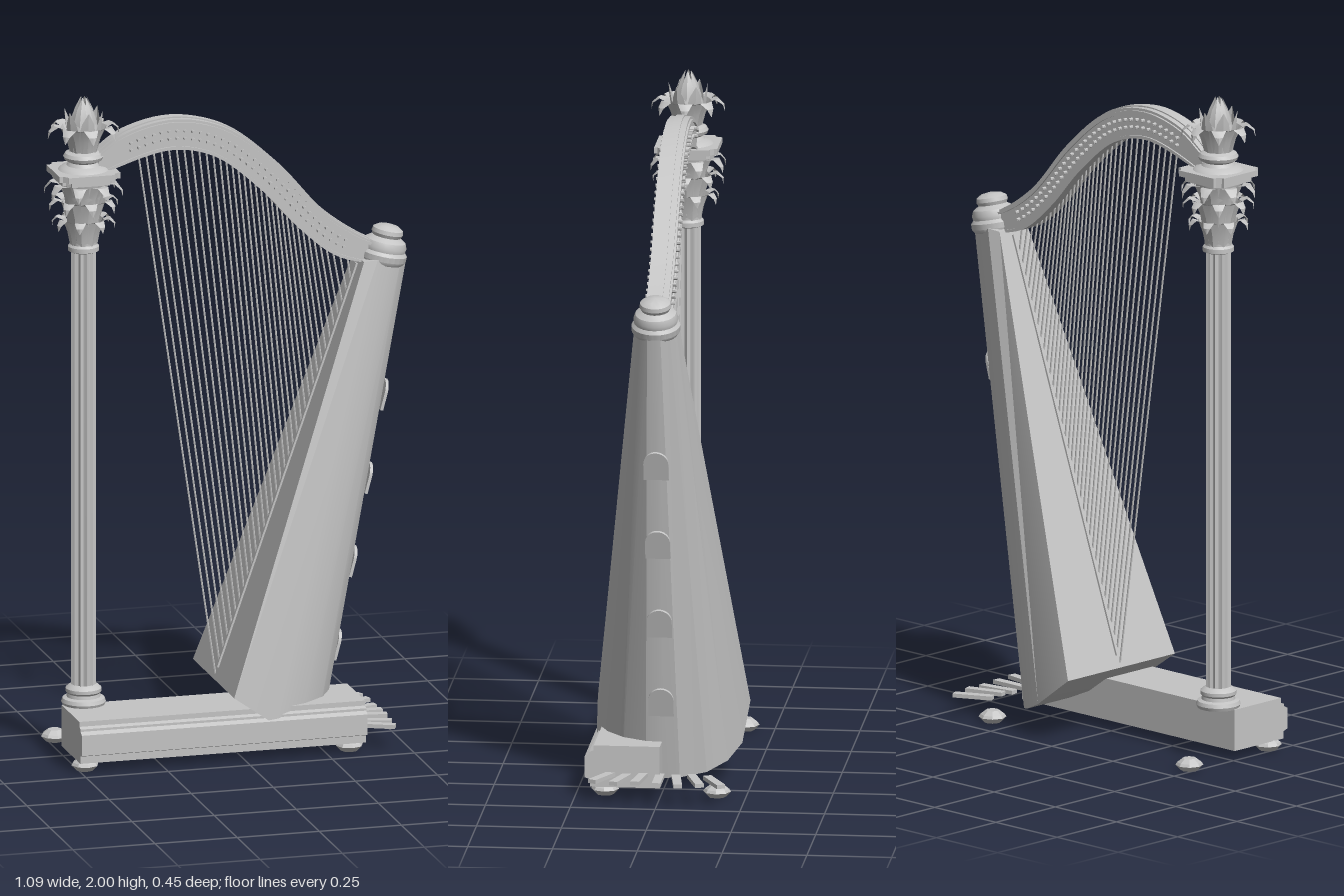
import * as THREE from 'three';
import { toCreasedNormals, mergeGeometries } from 'three/addons/utils/BufferGeometryUtils.js';

const V = (x, y, z = 0) => new THREE.Vector3(x, y, z);
const V2 = (x, y) => new THREE.Vector2(x, y);

export function createModel() {
  const harp = new THREE.Group();
  harp.name = 'harp';
  const gray = new THREE.MeshStandardMaterial({ color: 0xc4c4c4, side: THREE.DoubleSide });
  gray.name = 'plain gray';

  const add = (name, geo, parent = harp, crease = 0.6) => {
    const mesh = new THREE.Mesh(toCreasedNormals(geo, crease), gray);
    mesh.name = name;
    parent.add(mesh);
    return mesh;
  };
  const lathe = (pts, seg = 24) => new THREE.LatheGeometry(pts.map(p => V2(...p)), seg);
  const rod = (a, b, r, seg = 5) => {
    const d = b.clone().sub(a);
    const g = new THREE.CylinderGeometry(r, r, d.length(), seg);
    g.applyQuaternion(new THREE.Quaternion().setFromUnitVectors(V(0, 1, 0), d.normalize()));
    return g.translate((a.x + b.x) / 2, (a.y + b.y) / 2, (a.z + b.z) / 2);
  };

  // Moulded plinth: profile in (-z, y), swept along x
  const plinth = [[0, 0.03], [-0.205, 0.03], [-0.205, 0.052], [-0.222, 0.058], [-0.222, 0.12],
    [-0.208, 0.128], [-0.208, 0.135], [-0.195, 0.14], [-0.195, 0.155], [0, 0.155]];
  const plinthGeo = new THREE.ExtrudeGeometry(new THREE.Shape(plinth.map(p => V2(...p))),
    { depth: 0.87, bevelEnabled: false });
  add('plinth', plinthGeo.rotateY(Math.PI / 2).translate(-0.505, 0, 0));

  // Faceted feet
  for (const x of [-0.48, 0.325]) for (const z of [-0.165, 0.165])
    add('foot', lathe([[0, 0], [0.026, 0], [0.041, 0.016], [0.036, 0.024], [0.02, 0.036], [0, 0.036]], 8), harp, 0.1)
      .position.set(x, 0, z);

  // Fan of pedals
  for (let i = -3; i <= 3; i++) {
    const pedal = add('pedal', new THREE.BoxGeometry(0.12, 0.012, 0.026).translate(0.06, 0, 0));
    pedal.position.set(0.35, 0.066 + 0.003 * (i % 2), i * 0.046);
    pedal.rotation.y = -i * 0.15;
  }

  // Tapered sound box: lower and upper half outlines, mirrored in z
  const mirror = half => [...half, ...half.slice(0, -1).reverse().map(([x, y, z]) => [x, y, -z])];
  const low = mirror([[-0.042, 0.2, 0.225], [0.09, 0.105, 0.215], [0.17, 0.07, 0.18], [0.235, 0.05, 0.125],
    [0.275, 0.042, 0.05], [0.28, 0.04, 0]]);
  const high = mirror([[0.4, 1.45, 0.058], [0.44, 1.455, 0.066], [0.48, 1.45, 0.06], [0.515, 1.44, 0.045],
    [0.537, 1.43, 0.02], [0.54, 1.43, 0]]);
  const n = low.length, tri = [];
  const quad = (a, b, c, d) => tri.push(...a, ...b, ...c, ...a, ...c, ...d);
  for (let i = 0; i < n; i++) {
    const j = (i + 1) % n;
    quad(low[i], low[j], high[j], high[i]);
  }
  for (let i = 0; i < (n - 1) / 2; i++) {
    quad(low[n - 1 - i], low[n - 2 - i], low[i + 1], low[i]);
    quad(high[i], high[i + 1], high[n - 2 - i], high[n - 1 - i]);
  }
  const box = new THREE.BufferGeometry();
  box.setAttribute('position', new THREE.Float32BufferAttribute(tri, 3));
  add('soundBox', box, harp, 0.3);

  // Strip along the sound board that holds the strings
  const boardAt = y => -0.042 + (y - 0.2) * 0.3536;
  const strip = add('stringRib', new THREE.BoxGeometry(0.008, 1.27, 0.024));
  strip.position.set(boardAt(0.835) - 0.002, 0.835, 0);
  strip.rotation.z = -Math.atan(0.3536);

  // Arched sound holes down the back
  const arch = new THREE.Shape().moveTo(-0.037, -0.042).lineTo(0.037, -0.042).lineTo(0.037, 0.01);
  arch.absarc(0, 0.01, 0.037, 0, Math.PI);
  for (const y of [0.28, 0.53, 0.78, 1.03]) {
    const hole = add('soundHole', new THREE.ExtrudeGeometry(arch, { depth: 0.009, bevelEnabled: false, curveSegments: 8 })
      .rotateY(Math.PI / 2));
    hole.position.set(0.278 + 0.19 * (y - 0.04), y, 0);
    hole.rotation.z = -0.26;
  }

  // Turned cap on the sound box
  const cap = add('soundBoxCap', lathe([[0, -0.02], [0.064, -0.02], [0.072, -0.008], [0.072, 0.008], [0.064, 0.018],
    [0.066, 0.03], [0.06, 0.046], [0.048, 0.054], [0.042, 0.058], [0.047, 0.068], [0.045, 0.08], [0.03, 0.09], [0, 0.095]]));
  cap.position.set(0.472, 1.452, 0);
  cap.rotation.z = -0.22;

  // Fluted pillar
  const pillar = new THREE.Group();
  pillar.name = 'pillar';
  pillar.position.x = -0.438;
  harp.add(pillar);
  const shaft = new THREE.CylinderGeometry(1, 1, 1.36, 48, 1);
  const sp = shaft.attributes.position;
  for (let i = 0; i < sp.count; i++) {
    const a = Math.atan2(sp.getZ(i), sp.getX(i)), len = Math.hypot(sp.getX(i), sp.getZ(i));
    const r = len * (0.038 - 0.007 * Math.abs(Math.sin(a * 6)));
    sp.setXYZ(i, Math.cos(a) * r, sp.getY(i), Math.sin(a) * r);
  }
  add('flutedShaft', shaft.translate(0, 0.87, 0), pillar, 0.5);
  add('pillarBase', lathe([[0, 0.153], [0.062, 0.153], [0.066, 0.163], [0.062, 0.174], [0.05, 0.178], [0.048, 0.188],
    [0.053, 0.194], [0.053, 0.204], [0.044, 0.212], [0.036, 0.216]]), pillar);
  add('capitalBell', lathe([[0.034, 1.53], [0.046, 1.535], [0.046, 1.548], [0.04, 1.555], [0.043, 1.62], [0.05, 1.68],
    [0.066, 1.735], [0.07, 1.75], [0, 1.755]]), pillar);

  // Square slabs with notched corners over the capital
  const slab = (s, y, h) => {
    const c = s - 0.022, e = s - 0.01;
    const pts = [[c, -s], [c, -e], [s, -c]];
    const shape = new THREE.Shape();
    for (let k = 0; k < 4; k++) for (const [x, z] of [[s, -c], [s, c], [e, c], [c, e]]) {
      const a = k * Math.PI / 2;
      const p = V2(x * Math.cos(a) - z * Math.sin(a), x * Math.sin(a) + z * Math.cos(a));
      k === 0 && x === s && z === -c ? shape.moveTo(p.x, p.y) : shape.lineTo(p.x, p.y);
    }
    add('abacus', new THREE.ExtrudeGeometry(shape, { depth: h, bevelEnabled: false })
      .rotateX(-Math.PI / 2).translate(0, y, 0), pillar);
  };
  slab(0.08, 1.748, 0.016);
  slab(0.093, 1.764, 0.018);

  // Ring of curling leaves; path rows are [radius, height, half width]
  const leaves = (name, path, count, offset = 0, fold = 0.35) => {
    const geo = new THREE.PlaneGeometry(2, 1, 2, path.length - 1);
    const p = geo.attributes.position;
    for (let i = 0; i < p.count; i++) {
      const [r, y, w] = path[path.length - 1 - Math.floor(i / 3)], c = p.getX(i);
      p.setXYZ(i, c * w, y, r - Math.abs(c) * w * fold);
    }
    for (let k = 0; k < count; k++)
      add(name, geo, pillar).rotation.y = (k + offset) * Math.PI * 2 / count;
  };
  leaves('lowerCapitalLeaf', [[0.04, 1.55, 0.014], [0.048, 1.59, 0.02], [0.062, 1.628, 0.021], [0.082, 1.636, 0.017],
    [0.094, 1.622, 0.01], [0.093, 1.605, 0.001]], 8, 0.5);
  leaves('middleCapitalLeaf', [[0.042, 1.57, 0.016], [0.052, 1.64, 0.022], [0.068, 1.685, 0.024], [0.09, 1.695, 0.019],
    [0.105, 1.68, 0.011], [0.104, 1.66, 0.001]], 8);
  leaves('upperCapitalLeaf', [[0.048, 1.64, 0.016], [0.058, 1.7, 0.022], [0.076, 1.74, 0.024], [0.1, 1.743, 0.019],
    [0.116, 1.722, 0.01], [0.116, 1.704, 0.001]], 8, 0.5);

  // Finial: turned stem, spreading leaves and pointed bud
  add('finialStem', lathe([[0.075, 1.782], [0.066, 1.79], [0.05, 1.795], [0.043, 1.805], [0.056, 1.812], [0.06, 1.822],
    [0.054, 1.832], [0.04, 1.838], [0.046, 1.87], [0.048, 1.9], [0.03, 1.94], [0, 1.985]]), pillar);
  leaves('finialLeaf', [[0.04, 1.83, 0.016], [0.052, 1.875, 0.026], [0.07, 1.91, 0.029], [0.09, 1.918, 0.022],
    [0.107, 1.902, 0.012], [0.109, 1.88, 0.001]], 8);
  leaves('innerFinialLeaf', [[0.042, 1.84, 0.016], [0.052, 1.9, 0.024], [0.056, 1.93, 0.018], [0.058, 1.962, 0.001]], 6);
  leaves('budLeaf', [[0.045, 1.88, 0.02], [0.04, 1.93, 0.02], [0.028, 1.965, 0.013], [0.01, 2, 0.001]], 6, 0.5);

  // Curved neck between pillar and sound box
  const top = new THREE.CatmullRomCurve3([V(-0.4, 1.835), V(-0.32, 1.89), V(-0.17, 1.923), V(-0.01, 1.885), V(0.15, 1.76),
    V(0.29, 1.605), V(0.4, 1.525), V(0.45, 1.5)]);
  const bottom = new THREE.CatmullRomCurve3([V(-0.4, 1.765), V(-0.35, 1.785), V(-0.18, 1.828), V(-0.05, 1.8), V(0.09, 1.69),
    V(0.21, 1.56), V(0.32, 1.47), V(0.43, 1.435)]);
  const N = 40;
  const topPts = top.getSpacedPoints(N), botPts = bottom.getSpacedPoints(N);
  const between = (i, f) => botPts[i].clone().lerp(topPts[i], f);
  const band = (name, f0, f1, half) => {
    const outline = [], back = [];
    for (let i = 0; i <= N; i++) {
      outline.push(between(i, f0));
      back.unshift(between(i, f1));
    }
    const shape = new THREE.Shape([...outline, ...back].map(p => V2(p.x, p.y)));
    add(name, new THREE.ExtrudeGeometry(shape, { depth: half * 2, bevelEnabled: false }).translate(0, 0, -half));
  };
  band('neck', 0.03, 0.96, 0.03);
  band('neckLowerMoulding', 0, 0.1, 0.035);
  band('neckUpperMoulding', 0.78, 0.88, 0.036);
  band('neckTopRail', 0.9, 1, 0.012);

  // Two rows of tuning pins through the neck
  const neckPoint = (u, f) => {
    const k = Math.min(N - 1, Math.floor(u * N));
    return between(k, f).lerp(between(k + 1, f), u * N - k);
  };
  const pins = [];
  const count = 34;
  for (let i = 0; i < count; i++) for (const f of [0.36, 0.6]) {
    const p = neckPoint(0.11 + 0.79 * i / (count - 1), f);
    pins.push(rod(V(p.x, p.y, -0.043), V(p.x, p.y, 0.043), 0.005, 6));
  }
  add('tuningPins', mergeGeometries(pins));

  // Strings from the neck down to the sound board
  const strings = [];
  for (let i = 0; i < count; i++) {
    const t = i / (count - 1), y = 0.215 + 1.165 * t;
    strings.push(rod(neckPoint(0.14 + 0.79 * t, 0.03), V(boardAt(y), y), 0.003));
  }
  add('strings', mergeGeometries(strings));

  return harp;
}
